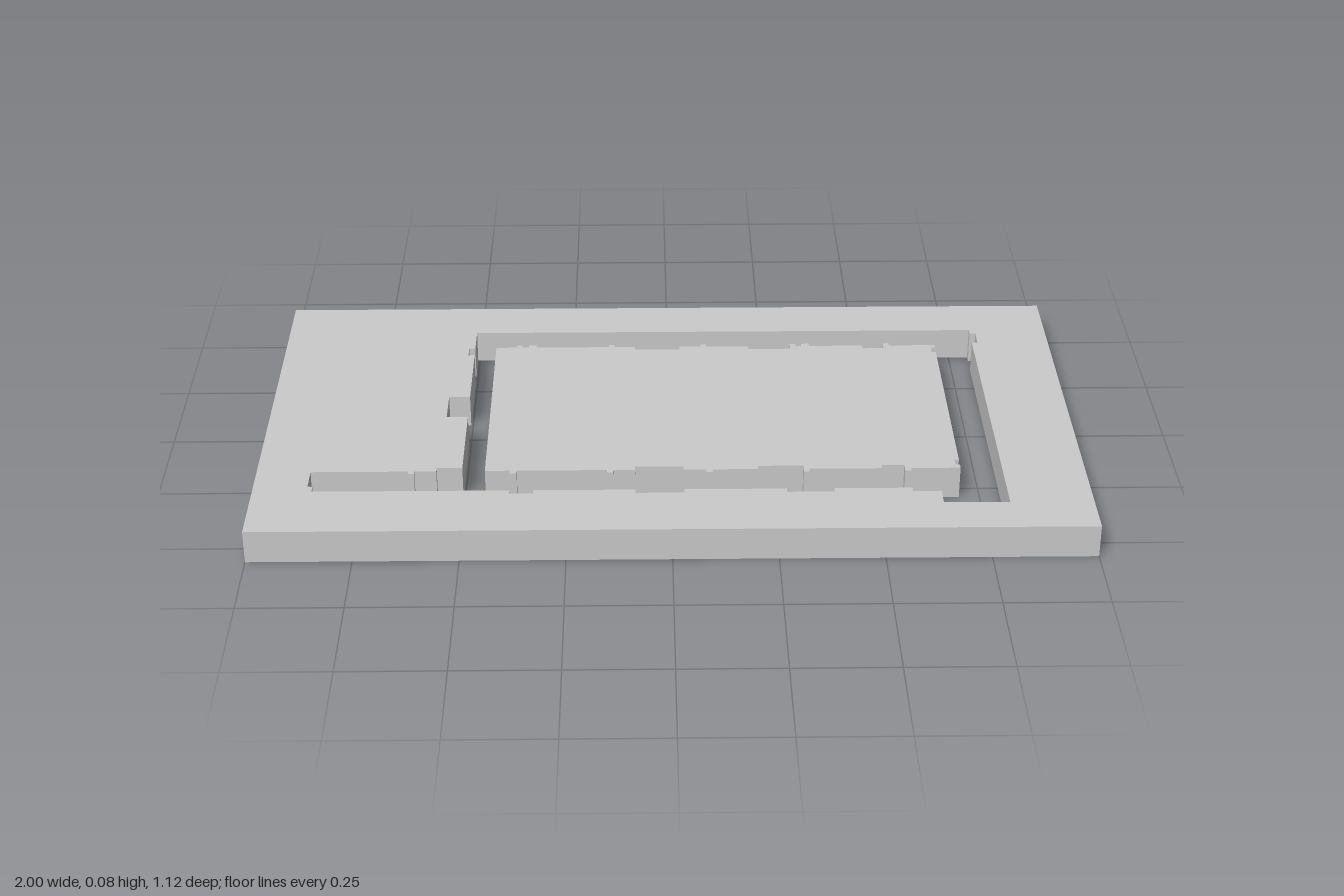
import * as THREE from 'three';

const HEIGHT = 0.083;

// Edge running in x at depth z; each notch is [x0, x1, offset in z]
const edgeX = (z, notches) =>
  notches.flatMap(([a, b, d]) => [[a, z], [a, z + d], [b, z + d], [b, z]]);

// Edge running in z at position x; each notch is [z0, z1, offset in x]
const edgeZ = (x, notches) =>
  notches.flatMap(([a, b, d]) => [[x, a], [x + d, a], [x + d, b], [x, b]]);

const toVectors = (points) => points.map(([x, z]) => new THREE.Vector2(x, -z));

// Upright slab from an outline in x and z, with optional cut-outs
function slab(name, outline, holes = []) {
  const shape = new THREE.Shape(toVectors(outline));
  for (const hole of holes) shape.holes.push(new THREE.Path(toVectors(hole)));
  const geometry = new THREE.ExtrudeGeometry(shape, { depth: HEIGHT, bevelEnabled: false });
  geometry.rotateX(-Math.PI / 2);
  const mesh = new THREE.Mesh(geometry, new THREE.MeshStandardMaterial({ color: 0xcccccc }));
  mesh.name = name;
  return mesh;
}

export function createModel() {
  const model = new THREE.Group();
  model.name = 'notchedSlab';

  // Outer frame with the channel, its side slot and lower right pocket cut through
  const channel = [
    [-0.505, -0.42], [0.80, -0.42],
    ...edgeZ(0.80, [[-0.40, -0.35, 0.015]]),
    [0.80, 0.447], [0.643, 0.447],
    [0.643, 0.395], [0.575, 0.395], [0.575, 0.38],
    ...edgeX(0.38, [
      [0.388, 0.275, 0.015], [0.03, -0.087, 0.015], [-0.33, -0.387, 0.015],
    ]),
    [-0.858, 0.38], [-0.858, 0.36], [-0.87, 0.355], [-0.87, 0.29],
    ...edgeX(0.29, [[-0.635, -0.62, 0.012]]),
    [-0.567, 0.29], [-0.567, 0.275], [-0.505, 0.275],
    ...edgeZ(-0.505, [[0.027, -0.075, -0.053], [-0.297, -0.333, -0.016]]),
  ];
  const frame = [[-1, 0.558], [1, 0.558], [1, -0.558], [-1, -0.558]];
  model.add(slab('outerFrame', frame, [channel]));

  // Loose inner block: ribs stand out and shallow recesses cut in
  const rib = 0.012, recess = 0.015;
  const ribs = [[-0.155, -0.14], [0.085, 0.10], [0.32, 0.335], [0.565, 0.58]];
  const recesses = [[-0.087, 0.03], [0.21, 0.32], [0.51, 0.565]];
  // Notches of one long side; outward is -1 for the back, +1 for the front
  const side = (outward, extraRibs) => [
    ...[...ribs, ...extraRibs].map(([a, b]) => [a, b, outward * rib]),
    ...recesses.map(([a, b]) => [a, b, -outward * recess]),
  ].sort((p, q) => p[0] - q[0]);
  const back = side(-1, [[-0.397, -0.382], [-0.365, -0.345], [0.35, 0.37]]);
  const front = side(1, [[-0.39, -0.373]]).reverse().map(([a, b, d]) => [b, a, d]);
  const block = [
    [-0.45, -0.337], ...edgeX(-0.337, back), [0.70, -0.337],
    ...edgeZ(0.70, [[-0.325, -0.298, -0.011], [0.25, 0.275, -0.011]]),
    [0.70, 0.289], ...edgeX(0.289, front), [-0.45, 0.289],
  ];
  model.add(slab('innerBlock', block));

  return model;
}
